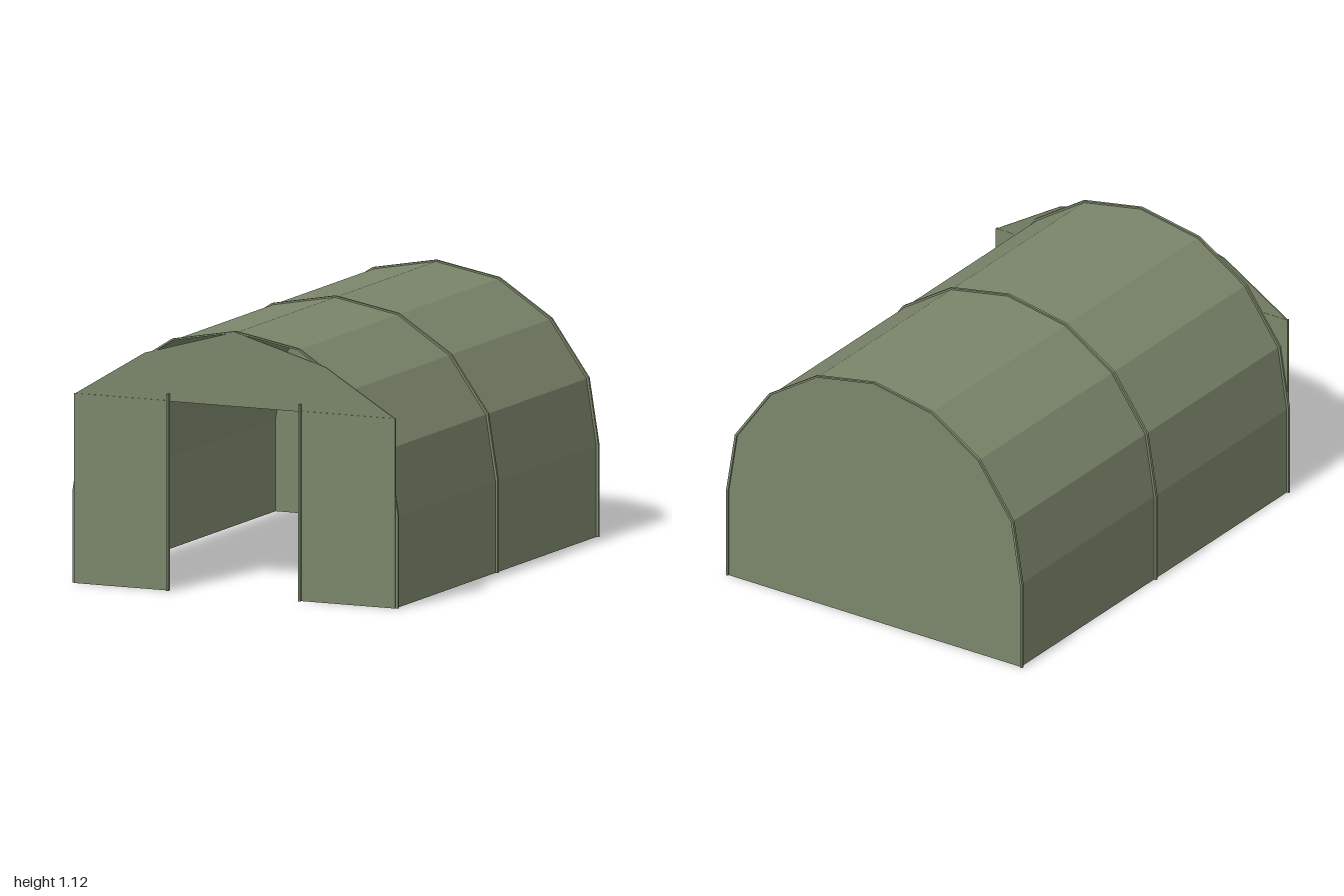
import * as THREE from 'three';

export function createModel() {
  const model = new THREE.Group();
  model.name = 'tentShelter';
  const canvas = new THREE.MeshStandardMaterial({ color: 0x7b866b, side: THREE.DoubleSide });
  canvas.name = 'olive canvas';

  const add = (name, geometry) => {
    const mesh = new THREE.Mesh(geometry, canvas);
    mesh.name = name;
    model.add(mesh);
    return mesh;
  };

  // Arch section, right foot over the ridge to the left foot
  const half = [[0.745, 0], [0.745, 0.39], [0.7, 0.67], [0.53, 0.91], [0.29, 1.065], [0, 1.118]];
  const arch = [...half, ...half.slice(0, -1).reverse().map(([x, y]) => [-x, y])];
  const toShape = (pts) => new THREE.Shape(pts.map(([x, y]) => new THREE.Vector2(x, y)));

  // Faceted canvas skin, open at the front and below
  const backZ = -0.993, frontZ = 0.973;
  const positions = [];
  for (let i = 0; i < arch.length - 1; i++) {
    const [ax, ay] = arch[i], [bx, by] = arch[i + 1];
    positions.push(ax, ay, frontZ, ax, ay, backZ, bx, by, backZ);
    positions.push(ax, ay, frontZ, bx, by, backZ, bx, by, frontZ);
  }
  const skin = new THREE.BufferGeometry();
  skin.setAttribute('position', new THREE.Float32BufferAttribute(positions, 3));
  skin.computeVertexNormals();
  add('canvasSkin', skin);

  // Closed back wall
  const back = new THREE.ShapeGeometry(toShape(arch));
  back.rotateY(Math.PI);
  add('backWall', back).position.z = backZ;

  // Thin ribs wrapped around the skin
  const outer = arch.map(([x, y]) => [x * 1.014, y === 0 ? 0 : y + 0.007 * (y / 1.118)]);
  const rib = new THREE.ExtrudeGeometry(toShape([...outer, ...arch.slice().reverse()]),
    { depth: 0.012, bevelEnabled: false });
  [['backRib', -1], ['middleRib', -0.012], ['frontRib', 0.966]].forEach(([name, z]) => {
    add(name, rib).position.z = z;
  });

  // Front gable, with corners standing out past the arch
  const gable = new THREE.ExtrudeGeometry(
    toShape([[-0.745, 0.805], [0.745, 0.805], [0.42, 1.003], [0, 1.122], [-0.42, 1.003]]),
    { depth: 0.006, bevelEnabled: false });
  add('frontGable', gable).position.z = 0.975;

  // Front wall panels and door posts on both sides of the opening
  for (const [side, s] of [['left', 1], ['right', -1]]) {
    add(side + 'FrontWall', new THREE.BoxGeometry(0.44, 0.808, 0.01)).position.set(s * 0.525, 0.404, 0.979);
    add(side + 'DoorPost', new THREE.BoxGeometry(0.008, 0.838, 0.02)).position.set(s * 0.306, 0.419, 0.99);
  }
  return model;
}
